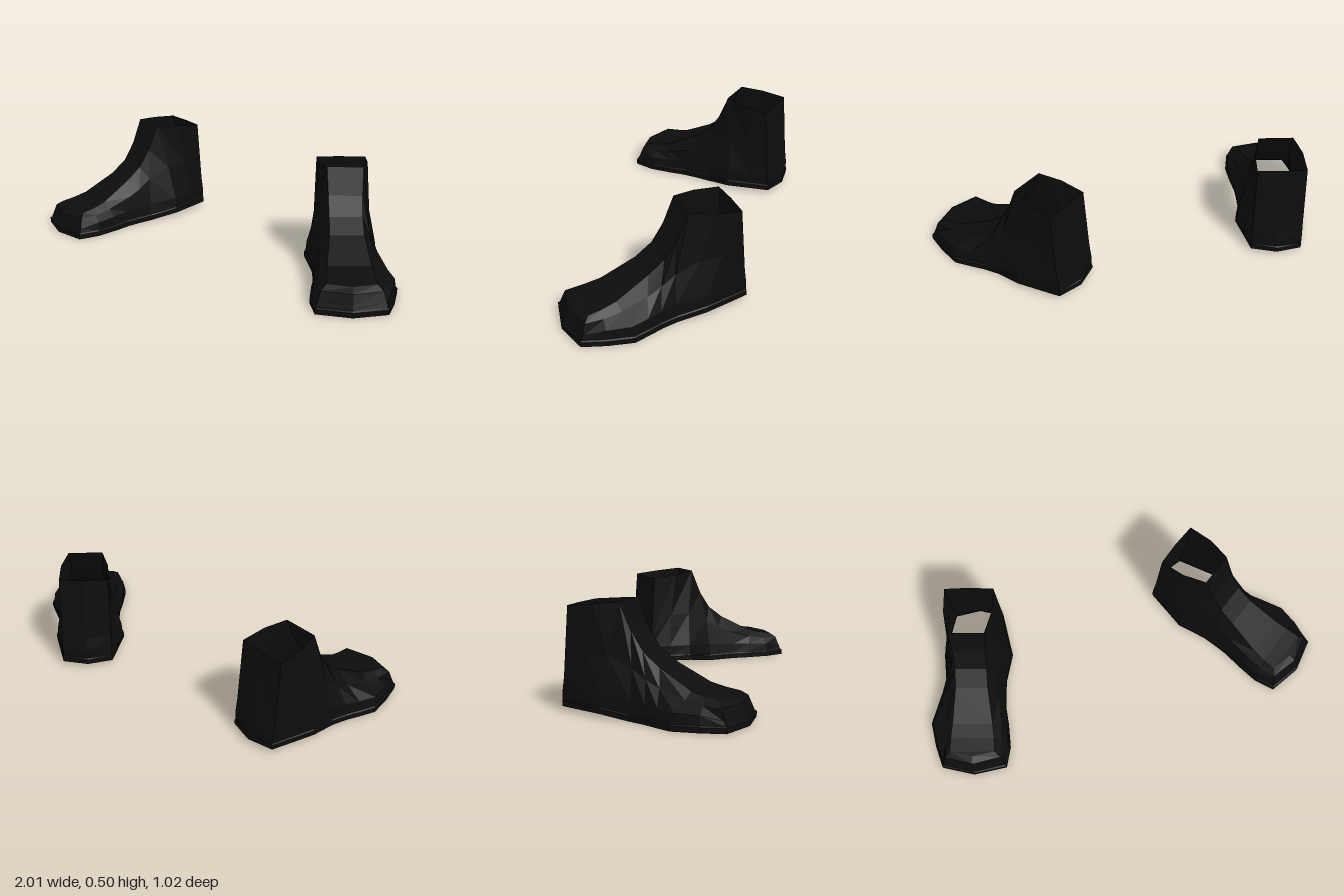
import * as THREE from 'three';

const black = new THREE.MeshStandardMaterial({
  color: 0x0d0d0d, flatShading: true, side: THREE.DoubleSide,
});

// Stations from heel to toe. Each: z, outer half width, inner half width, ground height,
// then [z, width factor, y] for the side bulge, and [z, half width, y] for shoulder and top line.
const stations = [
  [-0.031, 0, 0, 0.02, [-0.022, 1, 0.09], [-0.008, 0, 0.16], [0.028, 0, 0.475]],
  [0.0, 0.125, 0.125, 0.02, [0.003, 1, 0.09], [0.012, 0.124, 0.16], [0.033, 0.12, 0.475]],
  [0.11, 0.15, 0.152, 0.02, [0.11, 0.96, 0.1], [0.13, 0.126, 0.27], [0.16, 0.117, 0.488]],
  [0.22, 0.174, 0.18, 0.02, [0.22, 0.94, 0.1], [0.235, 0.126, 0.27], [0.273, 0.086, 0.5]],
  [0.36, 0.163, 0.15, 0.0, [0.36, 0.92, 0.09], [0.35, 0.115, 0.22], [0.328, 0.08, 0.375]],
  [0.44, 0.18, 0.15, 0.0, [0.44, 0.93, 0.085], [0.42, 0.122, 0.18], [0.385, 0.078, 0.29]],
  [0.51, 0.203, 0.153, 0.0, [0.51, 0.93, 0.08], [0.49, 0.128, 0.15], [0.465, 0.08, 0.23]],
  [0.59, 0.226, 0.167, 0.0, [0.6, 0.93, 0.075], [0.615, 0.138, 0.115], [0.626, 0.1, 0.147]],
  [0.709, 0.198, 0.18, 0.0, [0.705, 0.94, 0.07], [0.7, 0.14, 0.1], [0.695, 0.108, 0.13]],
  [0.815, 0.16, 0.163, 0.0, [0.8, 0.94, 0.05], [0.785, 0.138, 0.098], [0.76, 0.112, 0.12]],
  [0.851, 0, 0, 0.0, [0.836, 1, 0.05], [0.82, 0, 0.098], [0.785, 0, 0.118]],
];
const RIM_FRONT = 3;
const LAST = stations.length - 1;

// Points up the wall at one station; side is +1 (outer) or -1 (inner)
function wall([z, outer, inner, y0, bulge, shoulder, top], side) {
  const w = side > 0 ? outer : inner;
  const inset = z < 0 ? 0.008 : z > 0.8 ? -0.008 : 0;
  return [
    [side * w, y0, z],
    [side * w, y0 + 0.024, z],
    [side * w * 0.965, y0 + 0.03, z + inset],
    [side * w * bulge[1], bulge[2], bulge[0]],
    [side * shoulder[1], shoulder[2], shoulder[0]],
    [side * top[1], top[2], top[0]],
  ];
}

function toMesh(name, triangles, mirror) {
  const positions = [];
  for (const tri of triangles) {
    const t = mirror > 0 ? tri : [tri[0], tri[2], tri[1]];
    for (const [x, y, z] of t) positions.push(x * mirror, y, z);
  }
  const geometry = new THREE.BufferGeometry();
  geometry.setAttribute('position', new THREE.Float32BufferAttribute(positions, 3));
  geometry.computeVertexNormals();
  const mesh = new THREE.Mesh(geometry, black);
  mesh.name = name;
  return mesh;
}

function boot(name, mirror, x, z, yaw) {
  const outer = stations.map((s) => wall(s, 1));
  const inner = stations.map((s) => wall(s, -1));
  // Closed loop: heel, outer side, toe, inner side
  const loop = [...outer, ...inner.slice(1, LAST).reverse()];

  const band = (from, to) => {
    const tris = [];
    loop.forEach((a, i) => {
      const b = loop[(i + 1) % loop.length];
      for (let k = from; k < to; k++) {
        tris.push([a[k], a[k + 1], b[k]], [b[k], a[k + 1], b[k + 1]]);
      }
    });
    return tris;
  };

  // Instep strip across the top, from the rim front to the toe
  const instep = [];
  for (let i = RIM_FRONT; i < LAST; i++) {
    const [o, o2, n, n2] = [outer[i], outer[i + 1], inner[i], inner[i + 1]].map((p) => p[5]);
    instep.push([n, n2, o]);
    if (i + 1 < LAST) instep.push([o, n2, o2]);
  }

  const group = new THREE.Group();
  group.name = name;
  group.add(
    toMesh('soleEdge', band(0, 2), mirror),
    toMesh('upper', band(2, 5), mirror),
    toMesh('instep', instep, mirror),
  );
  group.position.set(x, 0, z);
  group.rotation.y = THREE.MathUtils.degToRad(yaw);
  return group;
}

export function createModel() {
  const model = new THREE.Group();
  model.name = 'bootPair';
  model.add(
    boot('leftBoot', 1, 0.46, -0.28, 29.5),
    boot('rightBoot', -1, -0.545, -0.46, -22.5),
  );
  return model;
}
